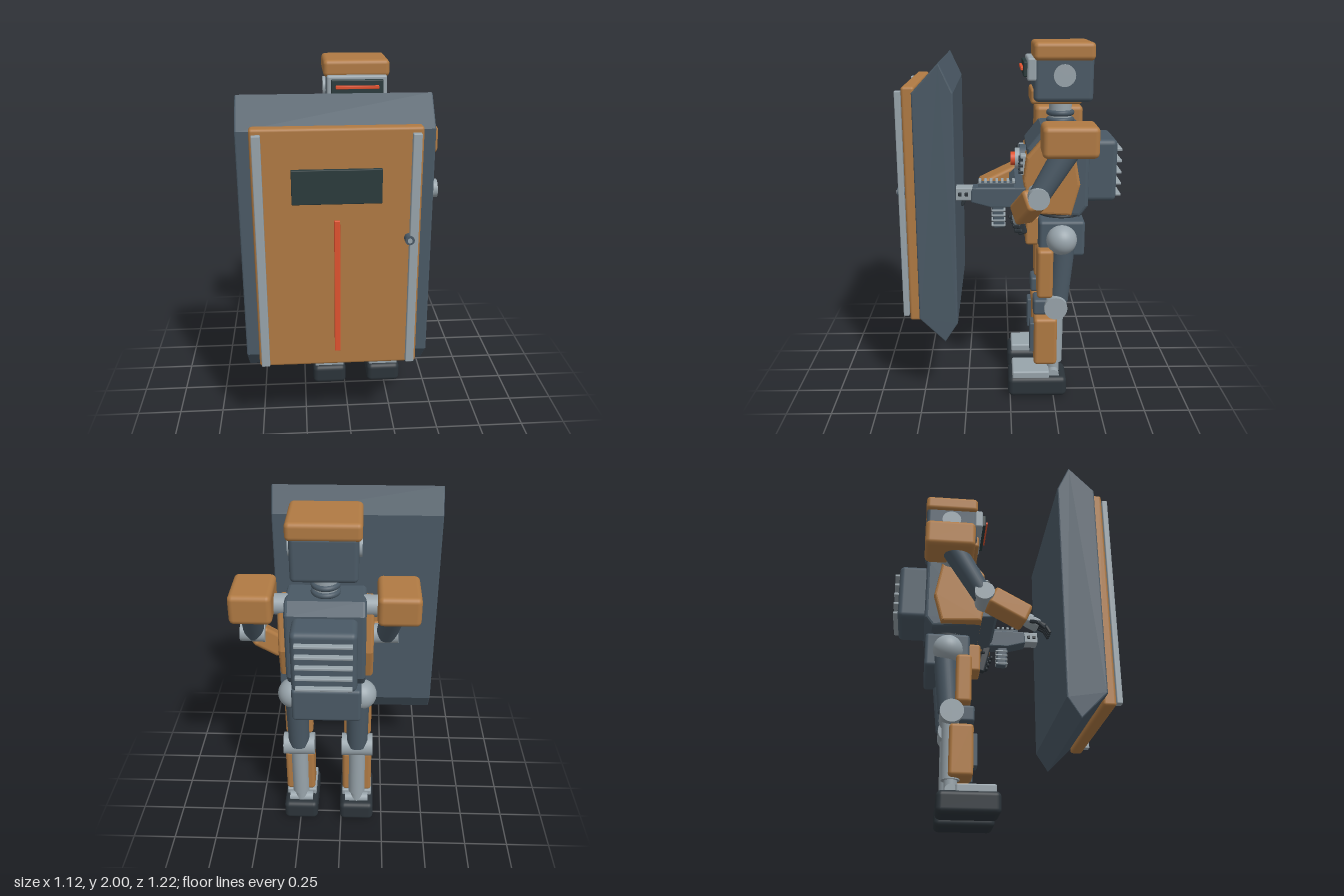
import * as THREE from 'three';
import { RoundedBoxGeometry } from 'three/addons/geometries/RoundedBoxGeometry.js';

const mat = (color) => new THREE.MeshStandardMaterial({ color });
const BROWN = mat(0xb07a43), DARK = mat(0x4a5965), BLACK = mat(0x2c343a);
const GREY = mat(0x98a4ab), RED = mat(0xe0522f), GLASS = mat(0x2a3a3c);
const V = (p) => new THREE.Vector3(...p);

function add(parent, name, geo, material) {
  const m = new THREE.Mesh(geo, material);
  m.name = name;
  parent.add(m);
  return m;
}

// Rounded box given by its limits on each axis
function box(parent, name, material, [x0, x1], [y0, y1], [z0, z1], r = 0.015) {
  const w = x1 - x0, h = y1 - y0, d = z1 - z0;
  const geo = r > 0 ? new RoundedBoxGeometry(w, h, d, 3, Math.min(r, w / 2.1, h / 2.1, d / 2.1)) : new THREE.BoxGeometry(w, h, d);
  const m = add(parent, name, geo, material);
  m.position.set((x0 + x1) / 2, (y0 + y1) / 2, (z0 + z1) / 2);
  return m;
}

// Round bar from a to b
function rod(parent, name, material, a, b, ra, rb = ra, seg = 28) {
  const d = V(b).sub(V(a));
  const m = add(parent, name, new THREE.CylinderGeometry(rb, ra, d.length(), seg), material);
  m.position.copy(V(a)).addScaledVector(d, 0.5);
  m.quaternion.setFromUnitVectors(new THREE.Vector3(0, 1, 0), d.normalize());
  return m;
}

// Rounded box whose length runs from a to b
function limb(parent, name, material, a, b, w, h, r = 0.02) {
  const geo = new RoundedBoxGeometry(w, h, V(a).distanceTo(V(b)), 3, r);
  const m = new THREE.Mesh(geo, material);
  m.name = name;
  m.position.copy(V(a)).lerp(V(b), 0.5);
  m.lookAt(V(b));
  parent.add(m);
  return m;
}

// Side profile of [z, y] points extruded across x
function prism(parent, name, material, pts, x0, x1, bevel) {
  const shape = new THREE.Shape(pts.map(([z, y]) => new THREE.Vector2(z, y)));
  const geo = new THREE.ExtrudeGeometry(shape, {
    depth: x1 - x0 - 2 * bevel, bevelSize: bevel, bevelThickness: bevel, bevelOffset: -bevel, bevelSegments: 3,
  });
  geo.rotateY(-Math.PI / 2).translate(x1 - bevel, 0, 0);
  return add(parent, name, geo, material);
}

function group(parent, name) {
  const g = new THREE.Group();
  g.name = name;
  parent.add(g);
  return g;
}

function buildShield(root) {
  const g = group(root, 'shield');
  prism(g, 'shieldSlab', DARK,
    [[0.5, 0.53], [0.5, 1.76], [0.36, 1.91], [0.29, 1.76], [0.29, 0.5], [0.36, 0.39]], -0.565, 0.412, 0.008);
  box(g, 'shieldPanel', BROWN, [-0.495, 0.345], [0.49, 1.785], [0.49, 0.56]);
  for (const x of [-0.46, 0.307]) box(g, 'shieldRail', GREY, [x - 0.022, x + 0.022], [0.51, 1.76], [0.565, 0.597], 0.005);
  box(g, 'shieldWindow', GLASS, [-0.3, 0.145], [1.41, 1.585], [0.55, 0.58], 0.004);
  box(g, 'shieldStripe', RED, [-0.092, -0.062], [0.58, 1.32], [0.55, 0.575], 0.004);
  rod(g, 'shieldKnob', DARK, [0.285, 1.218, 0.56], [0.285, 1.218, 0.605], 0.024);
  rod(g, 'shieldKnobCap', GREY, [0.285, 1.218, 0.6], [0.285, 1.218, 0.61], 0.012);
}

function buildHead(body) {
  const g = group(body, 'head');
  box(g, 'skull', DARK, [-0.168, 0.168], [1.69, 1.93], [-0.44, -0.125], 0.025);
  box(g, 'cap', BROWN, [-0.185, 0.185], [1.905, 2], [-0.445, -0.122], 0.025);
  box(g, 'jaw', BROWN, [-0.13, 0.13], [1.675, 1.755], [-0.385, -0.11]);
  box(g, 'visorFrame', GREY, [-0.168, 0.168], [1.8, 1.92], [-0.14, -0.09], 0.012);
  box(g, 'visorGlass', GLASS, [-0.145, 0.145], [1.82, 1.9], [-0.1, -0.07], 0.006);
  box(g, 'visorLight', RED, [-0.12, 0.12], [1.852, 1.87], [-0.08, -0.056], 0.003);
  rod(g, 'ears', GREY, [-0.184, 1.83, -0.285], [0.184, 1.83, -0.285], 0.058);
  rod(g, 'neck', GREY, [0, 1.52, -0.28], [0, 1.7, -0.28], 0.063);
  for (const y of [1.575, 1.615]) {
    const ring = add(g, 'neckRing', new THREE.TorusGeometry(0.062, 0.016, 10, 32), DARK);
    ring.rotation.x = Math.PI / 2;
    ring.position.set(0, y, -0.28);
  }
}

function buildTorso(body) {
  const g = group(body, 'torso');
  prism(g, 'torsoCore', DARK,
    [[-0.38, 1.07], [-0.425, 1.13], [-0.425, 1.5], [-0.37, 1.56], [-0.17, 1.55], [-0.09, 1.45], [-0.1, 1.1]], -0.21, 0.21, 0.02);
  for (const s of [-1, 1]) {
    const [a, b] = s < 0 ? [-0.25, -0.055] : [0.055, 0.25];
    prism(g, 'chestPlate', BROWN,
      [[-0.33, 1.09], [-0.375, 1.26], [-0.33, 1.5], [-0.16, 1.5], [-0.085, 1.41], [-0.068, 1.28], [-0.1, 1.1]], a, b, 0.015);
    rod(g, 'shoulderAxle', GREY, [s * 0.18, 1.5, -0.29], [s * 0.3, 1.5, -0.29], 0.055);
    box(g, 'chestVent', GREY, [s * 0.15 - 0.035, s * 0.15 + 0.035], [1.3, 1.41], [-0.09, -0.055], 0.006);
    for (let i = 0; i < 3; i++)
      box(g, 'chestSlat', BLACK, [s * 0.15 - 0.045, s * 0.15 + 0.045], [1.31 + i * 0.035, 1.325 + i * 0.035], [-0.07, -0.046], 0.003);
  }
  prism(g, 'bellyPlate', DARK, [[-0.12, 1.13], [-0.02, 1.14], [0, 1.17], [0, 1.22], [-0.03, 1.25], [-0.12, 1.25]], -0.222, 0.222, 0.012);
  // Round lamp on the chest
  rod(g, 'lampHousing', DARK, [0, 1.355, -0.1], [0, 1.355, -0.055], 0.08);
  rod(g, 'lampRing', GREY, [0, 1.355, -0.06], [0, 1.355, -0.03], 0.06);
  rod(g, 'lamp', RED, [0, 1.355, -0.035], [0, 1.355, -0.005], 0.037);
  // Backpack with cooling fins
  box(g, 'backpack', DARK, [-0.168, 0.168], [1.145, 1.49], [-0.582, -0.4], 0.03);
  for (let i = 0; i < 5; i++)
    box(g, 'backpackFin', GREY, [-0.145, 0.145], [1.173 + i * 0.0625, 1.189 + i * 0.0625], [-0.609, -0.57], 0.004);
  // Waist and pelvis
  rod(g, 'waist', GREY, [0, 1.02, -0.29], [0, 1.1, -0.29], 0.11);
  for (const y of [1.045, 1.066]) {
    const ring = add(g, 'waistRing', new THREE.TorusGeometry(0.115, 0.014, 10, 36), BLACK);
    ring.rotation.x = Math.PI / 2;
    ring.position.set(0, y, -0.29);
  }
  box(g, 'pelvis', DARK, [-0.19, 0.19], [0.835, 1.04], [-0.415, -0.16], 0.02);
  box(g, 'pelvisGuard', BROWN, [-0.075, 0.075], [0.865, 1.035], [-0.17, -0.09]);
}

function buildLeg(body, s) {
  const g = group(body, s < 0 ? 'rightLeg' : 'leftLeg');
  g.position.x = s * 0.17;
  const hip = add(g, 'hipBall', new THREE.SphereGeometry(0.085, 32, 20), GREY);
  hip.position.set(s * 0.02, 0.935, -0.285);
  rod(g, 'thigh', DARK, [0, 0.92, -0.3], [0, 0.57, -0.27], 0.065, 0.06);
  box(g, 'thighPlate', BROWN, [-0.08, 0.08], [0.605, 0.89], [-0.238, -0.15], 0.02);
  rod(g, 'knee', GREY, [-0.09, 0.55, -0.255], [0.09, 0.55, -0.255], 0.065);
  box(g, 'kneePad', DARK, [-0.065, 0.065], [0.5, 0.592], [-0.23, -0.13]);
  rod(g, 'shinBar', GREY, [0, 0.54, -0.255], [0, 0.19, -0.252], 0.05);
  box(g, 'shinPlate', BROWN, [-0.086, 0.086], [0.197, 0.483], [-0.266, -0.135], 0.02);
  box(g, 'shinInset', DARK, [-0.045, 0.045], [0.26, 0.44], [-0.15, -0.112], 0.006);
  rod(g, 'ankle', GREY, [-0.07, 0.125, -0.25], [0.07, 0.125, -0.25], 0.032);
  rod(g, 'ankleBar', GREY, [0, 0.12, -0.25], [0, 0.2, -0.25], 0.035);
  box(g, 'foot', BLACK, [-0.102, 0.102], [0, 0.122], [-0.325, 0.012], 0.03);
  box(g, 'footPlate', GREY, [-0.09, 0.09], [0.11, 0.157], [-0.225, -0.012], 0.01);
}

// Two-jointed finger through three points
function finger(parent, name, a, b, c) {
  limb(parent, name, BLACK, a, b, 0.018, 0.02, 0.006);
  limb(parent, name, BLACK, b, c, 0.017, 0.018, 0.006);
}

function buildArms(root) {
  const r = group(root, 'rightArm'), l = group(root, 'leftArm');
  box(r, 'shoulderPad', BROWN, [-0.41, -0.19], [1.45, 1.612], [-0.44, -0.155], 0.028);
  box(l, 'shoulderPad', BROWN, [0.34, 0.56], [1.45, 1.612], [-0.44, -0.155], 0.028);
  // Right arm reaches forward to the shield
  rod(r, 'upperArm', DARK, [-0.29, 1.5, -0.28], [-0.25, 1.22, -0.1], 0.07, 0.058);
  rod(r, 'elbow', GREY, [-0.315, 1.22, -0.095], [-0.175, 1.21, -0.085], 0.056);
  limb(r, 'forearm', BROWN, [-0.235, 1.21, -0.06], [-0.195, 1.115, 0.155], 0.14, 0.12);
  rod(r, 'wrist', GREY, [-0.2, 1.12, 0.13], [-0.193, 1.1, 0.18], 0.04);
  limb(r, 'palm', GREY, [-0.195, 1.105, 0.155], [-0.19, 1.075, 0.225], 0.085, 0.05, 0.012);
  for (let i = 0; i < 4; i++) {
    const x = -0.226 + i * 0.024;
    finger(r, 'finger', [x, 1.085, 0.21], [x, 1.06, 0.26], [x, 1.015, 0.285]);
  }
  finger(r, 'thumb', [-0.235, 1.08, 0.17], [-0.268, 1.06, 0.205], [-0.245, 1.035, 0.25]);
  // Left arm bends inward to the blaster grip
  rod(l, 'upperArm', DARK, [0.46, 1.5, -0.3], [0.485, 1.24, -0.14], 0.07, 0.055);
  rod(l, 'elbow', GREY, [0.42, 1.24, -0.14], [0.557, 1.245, -0.14], 0.055);
  limb(l, 'forearm', BROWN, [0.475, 1.23, -0.125], [0.345, 1.105, -0.055], 0.11, 0.12);
  limb(l, 'palm', GREY, [0.36, 1.11, -0.06], [0.315, 1.065, -0.045], 0.075, 0.06, 0.012);
  for (let i = 0; i < 4; i++) {
    const y = 1.085 - i * 0.026, z = -0.035 - i * 0.01;
    finger(l, 'finger', [0.325, y, z], [0.31, y - 0.005, z + 0.035], [0.265, y - 0.01, z + 0.035]);
  }
  finger(l, 'thumb', [0.32, 1.1, -0.07], [0.29, 1.11, -0.075], [0.255, 1.1, -0.045]);
}

function buildBlaster(root) {
  const g = group(root, 'blaster');
  prism(g, 'blasterBody', DARK,
    [[-0.085, 1.17], [-0.08, 1.25], [0.2, 1.25], [0.21, 1.23], [0.21, 1.17], [0.1, 1.14], [-0.05, 1.14]], 0.237, 0.335, 0.008);
  box(g, 'blasterRail', DARK, [0.262, 0.31], [1.245, 1.272], [-0.02, 0.17], 0.004);
  for (let i = 0; i < 7; i++)
    box(g, 'railTooth', GREY, [0.255, 0.317], [1.27, 1.286], [-0.025 + i * 0.03, -0.01 + i * 0.03], 0.003);
  box(g, 'muzzle', GREY, [0.245, 0.328], [1.18, 1.25], [0.2, 0.295], 0.006);
  for (const z of [0.225, 0.26]) box(g, 'muzzleSlot', BLACK, [0.238, 0.335], [1.205, 1.225], [z, z + 0.018], 0.003);
  limb(g, 'magazine', DARK, [0.286, 1.16, 0.07], [0.286, 1.02, 0.06], 0.05, 0.06, 0.008);
  for (let i = 0; i < 4; i++)
    box(g, 'magazineRib', GREY, [0.258, 0.314], [1.03 + i * 0.028, 1.04 + i * 0.028], [0.026, 0.102], 0.003);
  limb(g, 'grip', BLACK, [0.286, 1.16, -0.025], [0.286, 0.98, -0.07], 0.04, 0.05, 0.01);
}

export function createModel() {
  const root = new THREE.Group();
  root.name = 'shieldRobot';
  const body = group(root, 'body');
  body.position.x = 0.075;
  buildHead(body);
  buildTorso(body);
  for (const s of [-1, 1]) buildLeg(body, s);
  buildArms(root);
  buildBlaster(root);
  buildShield(root);
  return root;
}
